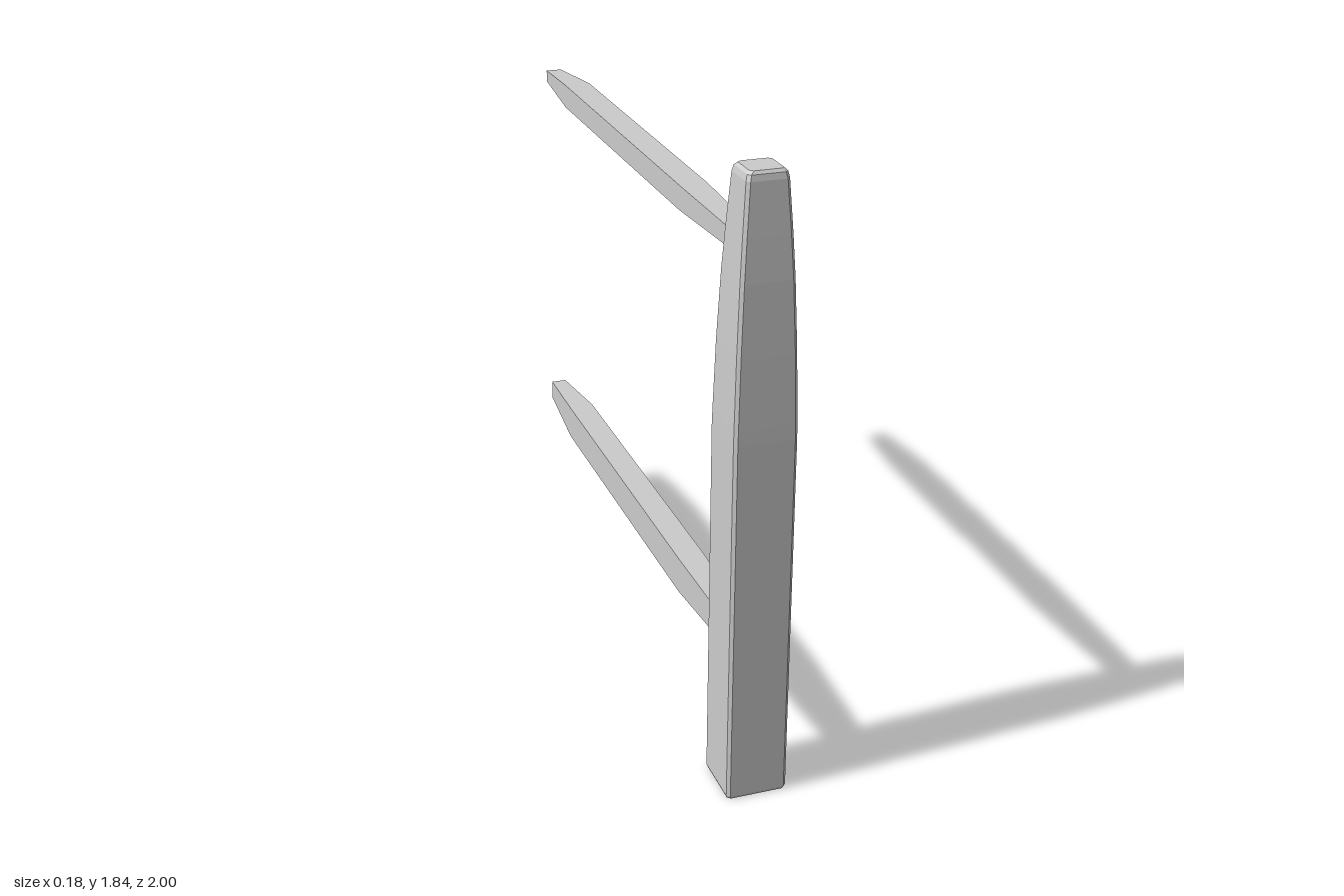
import * as THREE from 'three';

const material = new THREE.MeshStandardMaterial({ color: 0xcccccc, flatShading: true });

// Skins closed rings of [x, y, z] points; isOpening(row, edge) marks cells that become recesses.
function loft(name, rings, isOpening = () => false, floorZ = 0) {
  const pos = [];
  const tri = (a, b, c) => pos.push(...a, ...b, ...c);
  const quad = (a, b, c, d) => { tri(a, b, c); tri(a, c, d); };
  const n = rings[0].length;

  for (let i = 0; i < rings.length - 1; i++) {
    for (let j = 0; j < n; j++) {
      const k = (j + 1) % n;
      const mouth = [rings[i][j], rings[i][k], rings[i + 1][k], rings[i + 1][j]];
      if (!isOpening(i, j)) { quad(...mouth); continue; }
      const floor = mouth.map(([x, y]) => [x, y, floorZ]);
      quad(...floor);
      for (let e = 0; e < 4; e++) {
        const f = (e + 1) % 4;
        quad(mouth[e], mouth[f], floor[f], floor[e]);
      }
    }
  }
  // End caps
  const first = rings[0], last = rings[rings.length - 1];
  for (let j = 1; j < n - 1; j++) {
    tri(first[0], first[j + 1], first[j]);
    tri(last[0], last[j], last[j + 1]);
  }
  const geometry = new THREE.BufferGeometry();
  geometry.setAttribute('position', new THREE.Float32BufferAttribute(pos, 3));
  geometry.computeVertexNormals();
  const mesh = new THREE.Mesh(geometry, material);
  mesh.name = name;
  return mesh;
}

// Square post with chamfered corners, a tapered head and three mortises in its back
function makePost() {
  const centreZ = 0.91, chamfer = 0.009, mortiseHalf = 0.052;
  // [height, half width, 1 if a mortise starts here]
  const levels = [
    [0, 0.087, 0], [0.008, 0.09, 0],
    [0.345, 0.09, 1], [0.505, 0.09, 0],
    [1.01, 0.09, 1], [1.105, 0.09, 0],
    [1.15, 0.089, 0], [1.35, 0.084, 0],
    [1.55, 0.076, 1], [1.67, 0.069, 0],
    [1.815, 0.059, 0], [1.832, 0.055, 0], [1.84, 0.047, 0],
  ];
  const rings = levels.map(([y, w]) => {
    const p = w - chamfer, s = Math.min(mortiseHalf, p - 0.002);
    return [
      [-p, w], [p, w], [w, p], [w, -p], [p, -w],
      [s, -w], [-s, -w], [-p, -w], [-w, -p], [-w, p],
    ].map(([x, z]) => [x, y, centreZ + z]);
  });
  return loft('post', rings, (row, edge) => edge === 5 && levels[row][2] === 1, 0.89);
}

// Rail running back from the post; stations are [z, half width, bottom, top]
function makeRail(name, stations) {
  const x = -0.004;
  return loft(name, stations.map(([z, w, y0, y1]) => [
    [x - w, y0, z], [x + w, y0, z], [x + w, y1, z], [x - w, y1, z],
  ]));
}

export function createModel() {
  const group = new THREE.Group();
  group.name = 'fenceSection';
  group.add(
    makePost(),
    makeRail('upperRail', [
      [-0.985, 0.025, 1.592, 1.63], [-0.7, 0.041, 1.575, 1.65],
      [0.43, 0.041, 1.573, 1.645], [0.89, 0.028, 1.585, 1.634],
    ]),
    makeRail('lowerRail', [
      [-1, 0.025, 0.393, 0.457], [-0.71, 0.041, 0.368, 0.48],
      [0.45, 0.041, 0.368, 0.48], [0.89, 0.028, 0.393, 0.468],
    ]),
  );
  return group;
}
